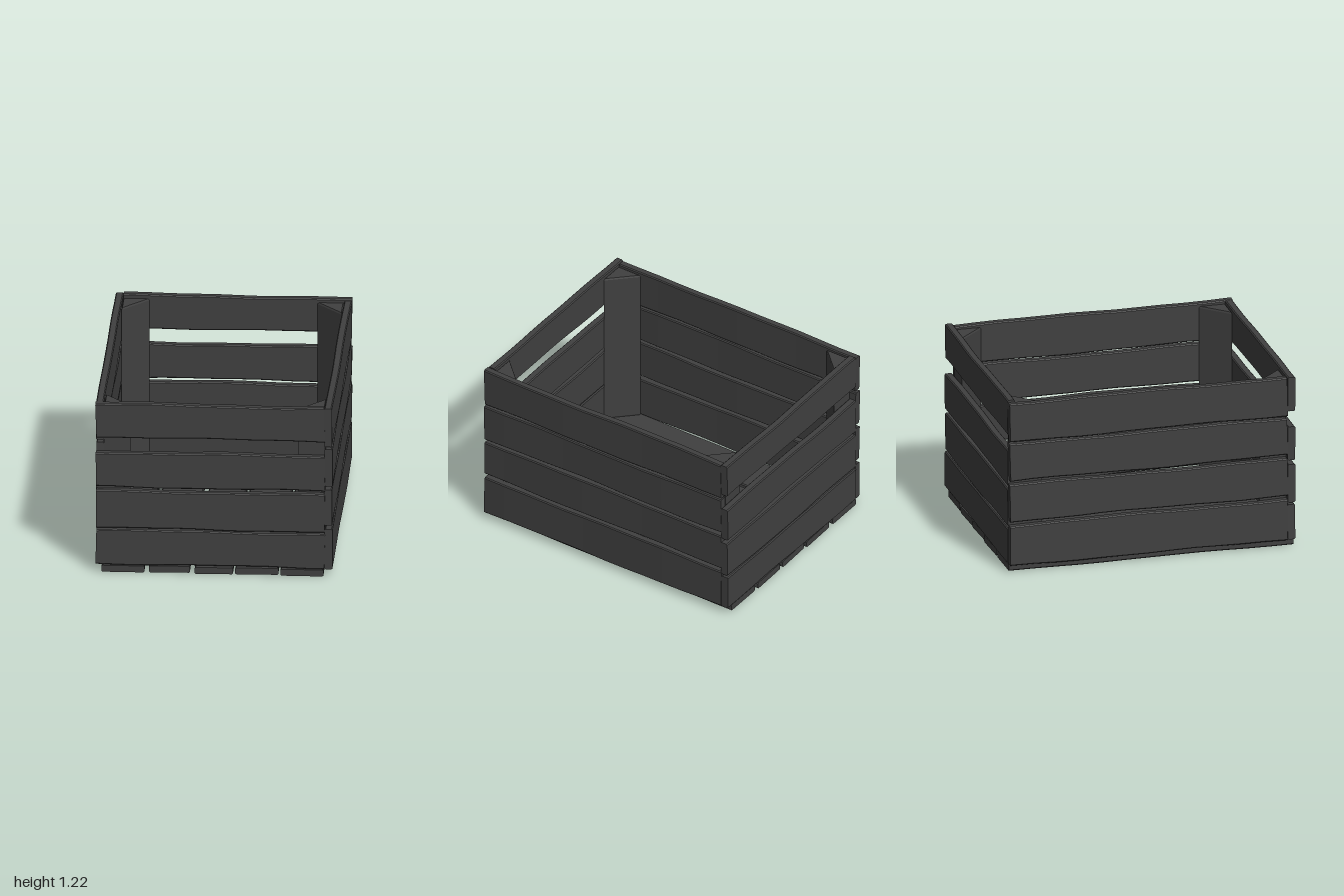
import * as THREE from 'three';

const wood = new THREE.MeshStandardMaterial({ color: 0x404040, flatShading: true });
// The crate is slightly skewed in plan
const skew = new THREE.Matrix4().set(1, 0, -0.01, 0, 0, 1, 0, 0, 0, 0, 1, 0, 0, 0, 0, 1);

// Chamfered board along x (width in y, thickness in z) with gently wavy edges
function boardGeometry(length, width, thick, seed) {
  const g = new THREE.BoxGeometry(length, width, thick, 12, 3, 1);
  const p = g.attributes.position;
  const chamfer = 0.007;
  for (let i = 0; i < p.count; i++) {
    const x = p.getX(i), y = p.getY(i), z = p.getZ(i);
    const side = Math.sign(y);
    const outer = Math.abs(y) > width * 0.4;
    const wave = 0.004 * Math.sin(x * 4.3 + seed * 2.1 + side) + 0.002 * Math.sin(x * 11 + seed * 5.7 + side * 2);
    p.setY(i, side * (width / 2 - (outer ? 0 : chamfer)) + wave);
    p.setZ(i, z - (outer ? Math.sign(z) * chamfer : 0) + 0.002 * Math.sin(x * 5 + seed * 3.3));
    // ends cut slightly out of square
    if (Math.abs(x) > length * 0.49) p.setX(i, x + 0.004 * Math.sin(seed * 7 + side * 1.3));
  }
  return g;
}

function addMesh(parent, name, geometry) {
  geometry.applyMatrix4(skew);
  geometry.computeVertexNormals();
  const mesh = new THREE.Mesh(geometry, wood);
  mesh.name = name;
  parent.add(mesh);
}

// One end wall, one side wall and two corner posts
function createHalf(seed) {
  const half = new THREE.Group();

  // End slats, with the wide handle gap under the top one
  [[0.06, 0.308], [0.32, 0.59], [0.617, 0.866], [0.974, 1.215]].forEach(([y0, y1], i) => {
    const g = boardGeometry(1.53, y1 - y0, 0.052, seed + i);
    g.translate(-0.025, (y0 + y1) / 2, 0.963);
    addMesh(half, 'endSlat', g);
  });

  // Side slats
  [[0.055, 0.342], [0.37, 0.633], [0.658, 0.922], [0.938, 1.212]].forEach(([y0, y1], i) => {
    const g = boardGeometry(1.92, y1 - y0, 0.052, seed + i + 4.5);
    g.rotateY(Math.PI / 2);
    g.translate(0.765, (y0 + y1) / 2, 0.025);
    addMesh(half, 'sideSlat', g);
  });

  // Triangular corner posts
  const bevel = 0.008;
  for (const s of [1, -1]) {
    const shape = new THREE.Shape([
      new THREE.Vector2(s * 0.732, 0.93),
      new THREE.Vector2(s * 0.732, 0.765),
      new THREE.Vector2(s * 0.572, 0.93),
    ]);
    const g = new THREE.ExtrudeGeometry(shape, {
      depth: 1.12, bevelEnabled: true, bevelSize: bevel, bevelThickness: 0.012, bevelSegments: 1,
    });
    g.rotateX(Math.PI / 2);
    g.translate(0, 1.18, 0);
    addMesh(half, 'cornerPost', g);
  }
  return half;
}

export function createModel() {
  const crate = new THREE.Group();
  crate.name = 'slattedCrate';

  // The corners overlap in a pinwheel, so the second half is the first turned about
  const front = createHalf(1);
  front.name = 'frontAndLeftWalls';
  const back = createHalf(11);
  back.name = 'backAndRightWalls';
  back.rotation.y = Math.PI;
  crate.add(front, back);

  // Floor boards
  const floor = new THREE.Group();
  floor.name = 'floor';
  [[-0.75, -0.467], [-0.437, -0.157], [-0.132, 0.126], [0.147, 0.427], [0.446, 0.735]].forEach(([x0, x1], i) => {
    const g = boardGeometry(1.97, x1 - x0, 0.046, i + 20);
    g.rotateX(-Math.PI / 2);
    g.rotateY(Math.PI / 2);
    g.translate((x0 + x1) / 2, 0.03, 0.003);
    addMesh(floor, 'floorBoard', g);
  });
  crate.add(floor);
  return crate;
}
